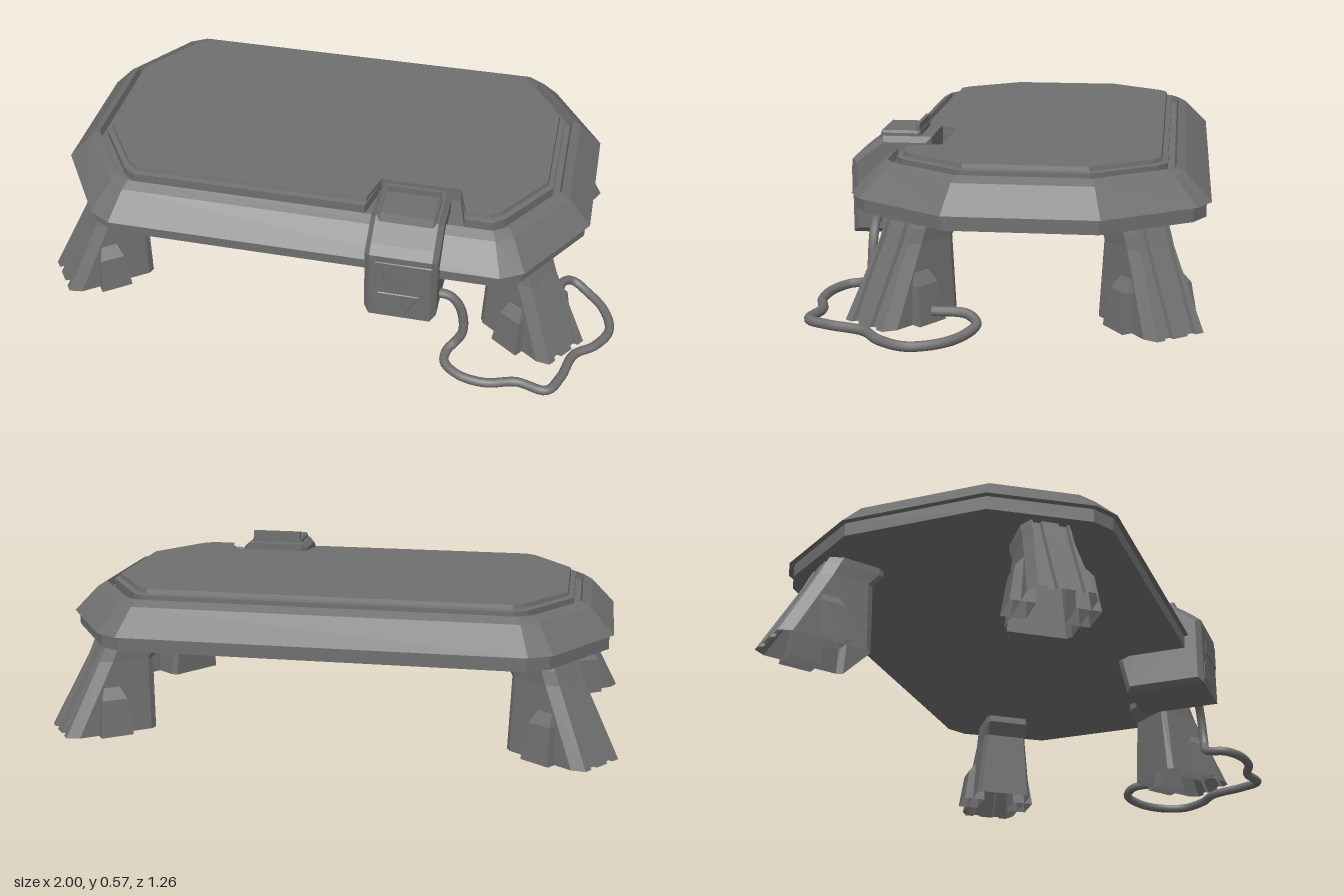
import * as THREE from 'three';

const material = new THREE.MeshStandardMaterial({ color: 0x6f6f6f, flatShading: true, side: THREE.DoubleSide });
const smooth = new THREE.MeshStandardMaterial({ color: 0x6f6f6f });

function add(group, name, geometry, mat = material) {
  const mesh = new THREE.Mesh(geometry, mat);
  mesh.name = name;
  group.add(mesh);
  return mesh;
}

// Skin a stack of rings; each ring is { y, pts: [[x, z], ...] }, capped on top and optionally below
function loft(rings, closedBelow = true) {
  const pos = [];
  const n = rings[0].pts.length;
  const put = (r, i) => pos.push(r.pts[i % n][0], r.y, r.pts[i % n][1]);
  for (let k = 0; k < rings.length - 1; k++) {
    const lo = rings[k], hi = rings[k + 1];
    for (let i = 0; i < n; i++) {
      put(lo, i); put(hi, i); put(hi, i + 1);
      put(lo, i); put(hi, i + 1); put(lo, i + 1);
    }
  }
  const cap = (r, flip) => {
    const faces = THREE.ShapeUtils.triangulateShape(r.pts.map(p => new THREE.Vector2(...p)), []);
    for (const [a, b, c] of faces) { put(r, a); put(r, flip ? c : b); put(r, flip ? b : c); }
  };
  if (closedBelow) cap(rings[0], false);
  cap(rings[rings.length - 1], true);
  const g = new THREE.BufferGeometry();
  g.setAttribute('position', new THREE.Float32BufferAttribute(pos, 3));
  g.computeVertexNormals();
  return g;
}

// Mirror one rounded corner into all four quadrants
function outline(corner) {
  const rev = [...corner].reverse();
  return [
    ...corner,
    ...rev.map(([x, z]) => [-x, z]),
    ...corner.map(([x, z]) => [-x, -z]),
    ...rev.map(([x, z]) => [x, -z]),
  ];
}

// Corner of the platform, moved inwards by an inset
const OUTER = [[0.92, 0.24], [0.735, 0.527], [0.66, 0.57]];
const INNER = [[0.765, 0.195], [0.635, 0.385], [0.60, 0.41]];
function inset(d) {
  const t = d / 0.155;
  return outline(OUTER.map((p, i) => p.map((v, k) => v + (INNER[i][k] - v) * t)));
}

// Top plate outline with the notch that receives the clamp
function notched(d) {
  const pts = inset(d);
  const z = pts[2][1];
  pts.splice(3, 0, [0.52, z], [0.49, 0.30], [0.22, 0.30], [0.19, z]);
  return pts;
}

function createPlatform() {
  const g = new THREE.Group();
  g.name = 'platform';
  const profile = [[0.015, 0.34], [0.015, 0.385], [0, 0.388], [0.078, 0.472], [0.108, 0.49],
    [0.114, 0.465]];
  add(g, 'platformBody', loft(profile.map(([d, y]) => ({ y, pts: inset(d) }))));
  add(g, 'topPlate', loft([[0.135, 0.46], [0.135, 0.498], [0.152, 0.501], [0.155, 0.515]]
    .map(([d, y]) => ({ y, pts: notched(d) }))));
  g.position.set(-0.05, 0, -0.06);
  return g;
}

// Leg cross-section: chamfered outer face with two grooves beside a central rib
function legSection(u0, u1, b) {
  const g = u1 - 0.014;
  const half = [[u1, 0.026], [g, 0.03], [g, 0.052], [u1, 0.056], [u1, b - 0.022], [u1 - 0.04, b],
    [u0 + 0.02, b], [u0, b * 0.88]];
  return [...half, ...[...half].reverse().map(([u, w]) => [u, -w])];
}

function createLeg(sx, sz) {
  const g = new THREE.Group();
  g.name = (sz > 0 ? 'front' : 'back') + (sx > 0 ? 'Left' : 'Right') + 'Leg';
  // Hollow shell, open underneath
  add(g, 'legBody', loft([
    { y: 0.028, pts: legSection(-0.148, 0.16, 0.107) },
    { y: 0.27, pts: legSection(-0.152, 0.03, 0.084) },
    { y: 0.315, pts: legSection(-0.188, 0.01, 0.084) },
    { y: 0.342, pts: legSection(-0.188, -0.004, 0.082) },
  ], false));
  // Tapered buttress on each side
  for (const side of [-1, 1]) {
    const rect = (u, w) => [[u, 0.06], [u, w], [-u, w], [-u, 0.06]];
    const buttress = add(g, 'sideButtress', loft([
      { y: 0.028, pts: rect(0.055, 0.14) },
      { y: 0.15, pts: rect(0.042, 0.122) },
      { y: 0.185, pts: rect(0.028, 0.095) },
      { y: 0.2, pts: rect(0.02, 0.07) },
    ], false));
    if (side < 0) buttress.rotation.y = Math.PI;
  }
  g.position.set(sx * 0.77 - 0.05, 0, sz * 0.39 - 0.06);
  g.rotation.y = -Math.atan2(0.59 * sz, 0.81 * sx);
  return g;
}

// Extrude a (z, y) side profile across x, centred, with bevelled cheeks
function sideExtrude(points, width, bevel) {
  const geo = new THREE.ExtrudeGeometry(new THREE.Shape(points.map(p => new THREE.Vector2(...p))), {
    depth: width - 2 * bevel, bevelEnabled: true, bevelThickness: bevel, bevelSize: bevel,
    bevelOffset: -bevel, bevelSegments: 1,
  });
  return geo.translate(0, 0, bevel - width / 2).rotateY(-Math.PI / 2);
}

function createClamp() {
  const g = new THREE.Group();
  g.name = 'clamp';
  add(g, 'clampBody', sideExtrude([[0.27, 0.2], [0.555, 0.2], [0.555, 0.45], [0.525, 0.475],
    [0.45, 0.53], [0.285, 0.53], [0.285, 0.36], [0.24, 0.33]], 0.24, 0.018));
  add(g, 'topPad', sideExtrude([[0.325, 0.52], [0.465, 0.52], [0.455, 0.547], [0.325, 0.547]], 0.19, 0.008));
  add(g, 'padLip', new THREE.BoxGeometry(0.18, 0.04, 0.012)).position.set(0, 0.55, 0.334);

  // Slightly raised panels on the front face
  const panel = (name, pts) => {
    const shape = new THREE.Shape(pts.map(p => new THREE.Vector2(...p)));
    add(g, name, new THREE.ExtrudeGeometry(shape, {
      depth: 0.004, bevelThickness: 0.004, bevelSize: 0.004, bevelSegments: 1,
    })).position.z = 0.55;
  };
  panel('upperPanel', [[-0.05, 0.34], [0.1, 0.34], [0.1, 0.425], [-0.08, 0.425], [-0.05, 0.385]]);
  panel('lowerPanel', [[-0.09, 0.222], [0.02, 0.222], [0.06, 0.297], [-0.07, 0.297], [-0.09, 0.27]]);
  g.position.x = 0.295;
  return g;
}

// Loose cable running from the clamp over the floor into the front left leg
function createCable() {
  const path = new THREE.CatmullRomCurve3([
    [0.39, 0.255, 0.47], [0.45, 0.25, 0.47], [0.488, 0.2, 0.47], [0.50, 0.1, 0.475],
    [0.475, 0.055, 0.485], [0.455, 0.04, 0.51], [0.455, 0.033, 0.56], [0.51, 0.028, 0.605],
    [0.6, 0.025, 0.618], [0.7, 0.025, 0.592], [0.8, 0.025, 0.61], [0.84, 0.024, 0.54],
    [0.875, 0.021, 0.42], [0.94, 0.018, 0.36], [0.983, 0.016, 0.27], [0.955, 0.019, 0.17],
    [0.895, 0.027, 0.105], [0.84, 0.045, 0.075], [0.805, 0.063, 0.11], [0.795, 0.065, 0.22],
  ].map(p => new THREE.Vector3(...p)));
  return new THREE.TubeGeometry(path, 120, 0.016, 10);
}

export function createModel() {
  const model = new THREE.Group();
  model.name = 'platformOnLegs';
  model.add(createPlatform());
  for (const sx of [-1, 1]) for (const sz of [-1, 1]) model.add(createLeg(sx, sz));
  model.add(createClamp());
  add(model, 'cable', createCable(), smooth);
  return model;
}
